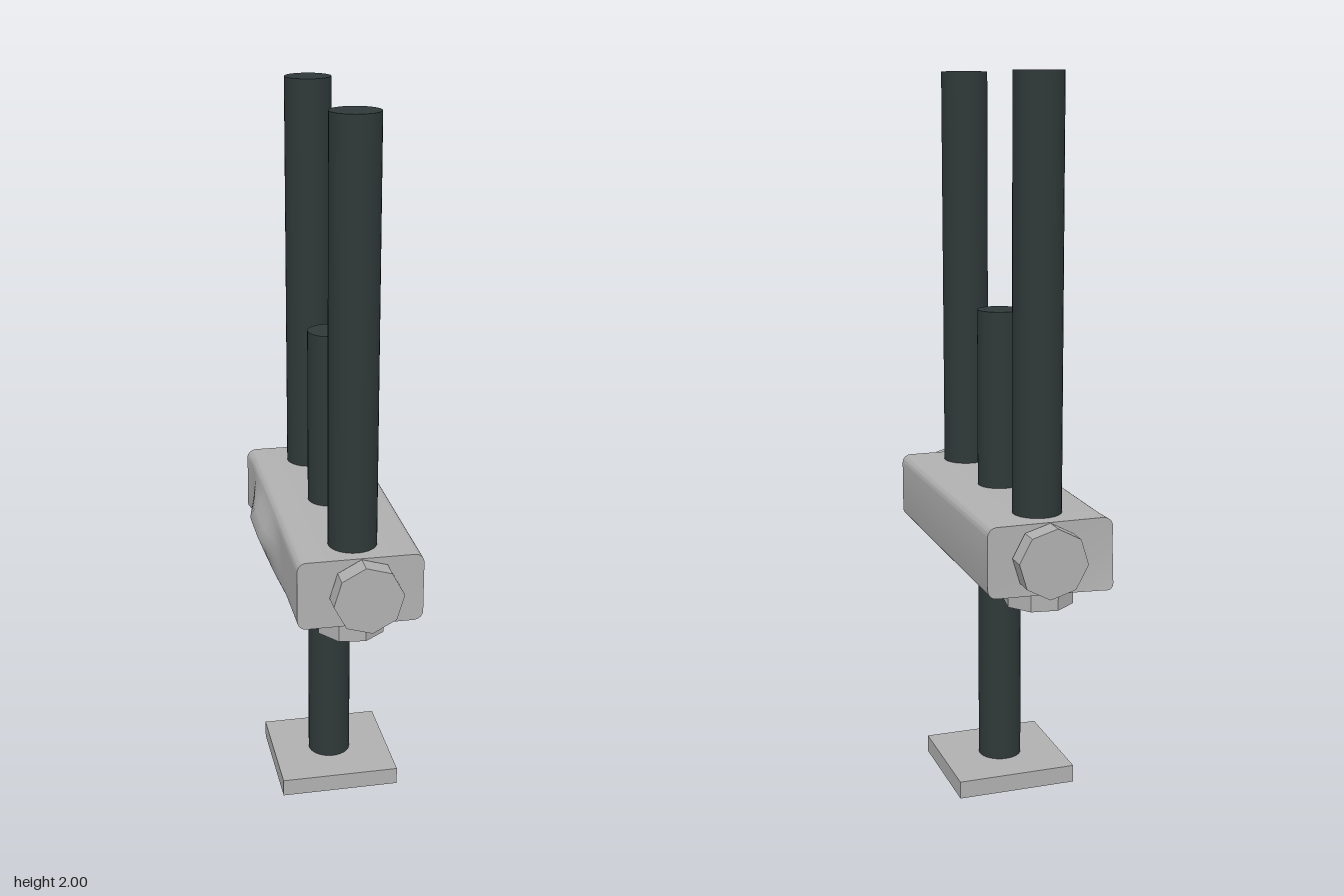
import * as THREE from 'three';
import { toCreasedNormals } from 'three/addons/utils/BufferGeometryUtils.js';

const AXIS_X = 0.018; // the rods and foot share this line
const ROD_Z = 0.313;

function add(group, name, geometry, material, x, y, z) {
  const mesh = new THREE.Mesh(geometry, material);
  mesh.name = name;
  mesh.position.set(x, y, z);
  group.add(mesh);
  return mesh;
}

// Clamp block: rounded bar along z with a dented, bulging -x side
function blockGeometry() {
  const x0 = -0.15, x1 = 0.19, y0 = 0.672, y1 = 0.864, r = 0.025;
  const zBack = -0.42, length = 0.835;
  const s = new THREE.Shape();
  s.moveTo(x0 + r, y0);
  s.lineTo(x1 - r, y0);
  s.absarc(x1 - r, y0 + r, r, -Math.PI / 2, 0);
  s.absarc(x1 - r, y1 - r, r, 0, Math.PI / 2);
  s.absarc(x0 + r, y1 - r, r, Math.PI / 2, Math.PI);
  for (const y of [0.815, 0.79, 0.76, 0.73]) s.lineTo(x0, y);
  s.absarc(x0 + r, y0 + r, r, Math.PI, Math.PI * 1.5);
  const g = new THREE.ExtrudeGeometry(s, { depth: length, steps: 30, bevelEnabled: false, curveSegments: 4 });
  g.translate(0, 0, zBack);

  const p = g.attributes.position;
  const ramp = (a, b, v) => THREE.MathUtils.clamp((v - a) / (b - a), 0, 1);
  for (let i = 0; i < p.count; i++) {
    let x = p.getX(i), y = p.getY(i), z = p.getZ(i);
    const side = ramp(-0.11, -0.15, x);
    const low = ramp(0.75, 0.68, y);
    // long swelling on the side
    const along = ramp(-0.32, -0.14, z) * ramp(0.15, 0, z);
    const height = ramp(0.84, 0.76, y) * ramp(0.66, 0.76, y);
    // sagging lower edge and flared back corner
    const sag = ramp(-0.02, 0.08, z) * ramp(0.24, 0.15, z);
    const corner = ramp(-0.36, -0.42, z) * side;
    x -= 0.04 * along * height * side + 0.005 * corner;
    y -= (0.014 * sag + 0.014 * corner) * low * ramp(-0.1, -0.13, x);
    z -= 0.012 * corner * low;
    p.setXYZ(i, x, y, z);
  }
  return toCreasedNormals(g, 0.9);
}

export function createModel() {
  const model = new THREE.Group();
  model.name = 'clampStand';
  const steel = new THREE.MeshStandardMaterial({ color: 0xb0b0b0 });
  steel.name = 'light steel';
  const dark = new THREE.MeshStandardMaterial({ color: 0x2f3838 });
  dark.name = 'dark rod';

  // Foot plate and centre rod
  add(model, 'footPlate', new THREE.BoxGeometry(0.34, 0.05, 0.334), steel, AXIS_X + 0.002, 0.025, 0);
  add(model, 'centreRod', new THREE.CylinderGeometry(0.061, 0.061, 1.31, 32), dark, AXIS_X, 0.705, 0);

  add(model, 'clampBlock', blockGeometry(), steel, 0, 0, 0);

  const bolt = toCreasedNormals(new THREE.CylinderGeometry(0.095, 0.095, 0.056, 8), 0.3);
  for (const side of [1, -1]) {
    const end = side > 0 ? 'front' : 'back';
    // Tall rod with its nut beneath the block
    add(model, end + 'Rod', new THREE.CylinderGeometry(0.066, 0.066, 1.33, 32), dark, AXIS_X, 1.335, side * ROD_Z);
    const nut = add(model, end + 'LowerNut', bolt, steel, AXIS_X - 0.004, 0.644, side * ROD_Z);
    nut.rotation.y = 0.25;
    // Bolt head on the end of the block
    const head = add(model, end + 'BoltHead', bolt, steel, 0.03, 0.769, side > 0 ? 0.447 : -0.452);
    head.rotation.set(Math.PI / 2, 0.1, 0);
  }
  return model;
}
